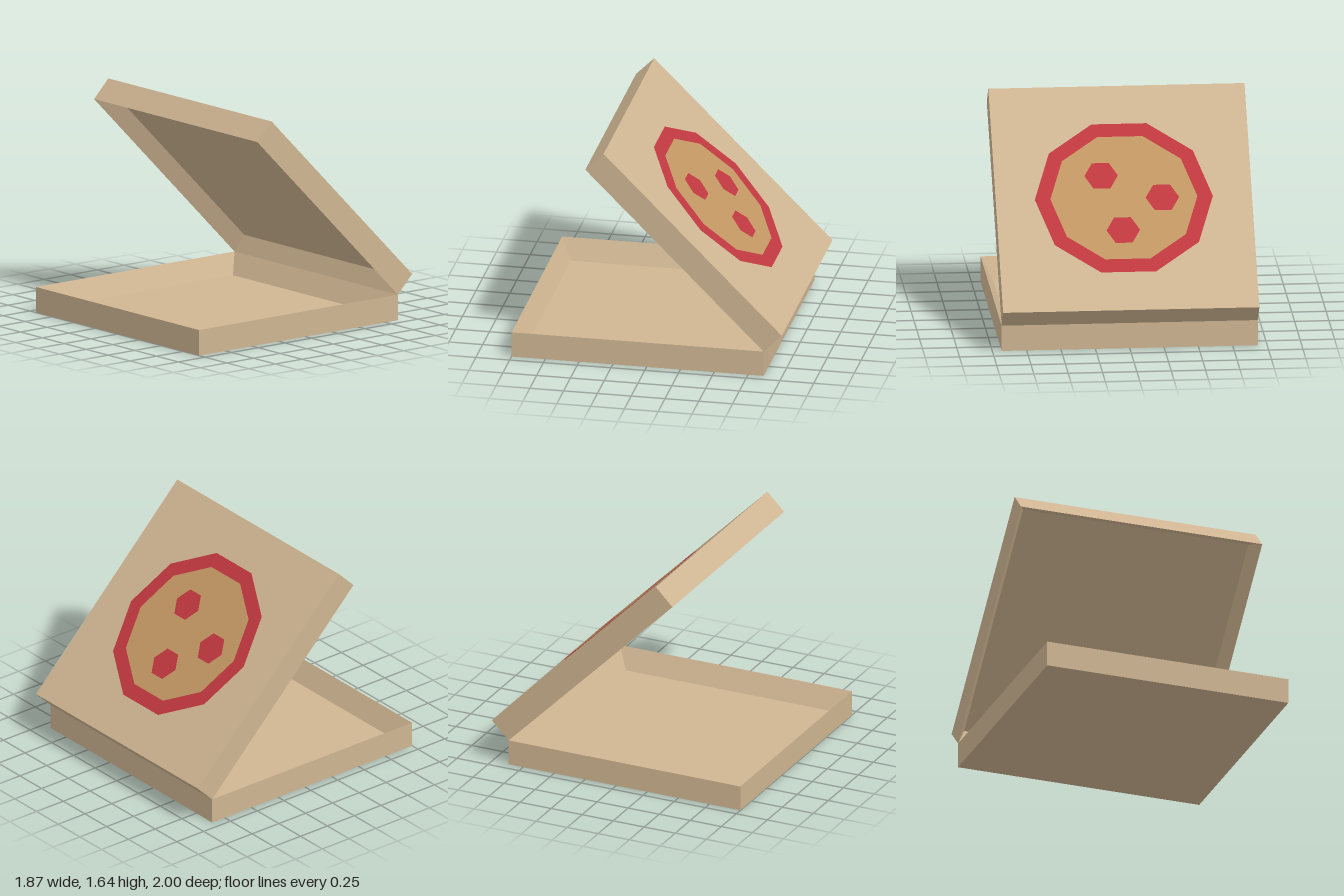
import * as THREE from 'three';

const WIDTH = 1.865, LENGTH = 1.866, HEIGHT = 0.19;
const paint = (color) => new THREE.MeshStandardMaterial({ color, flatShading: true });

// Open tray: outer walls rise to a sharp rim, inner walls slope down to the floor
function trayGeometry(inset, depth) {
  const ring = (i, y) => [[1, 1], [1, -1], [-1, -1], [-1, 1]].map(
    ([sx, sz]) => [sx * (WIDTH / 2 - i), y, sz * (LENGTH / 2 - i)]);
  const rings = [ring(0, 0), ring(0, HEIGHT), ring(inset, HEIGHT - depth)];
  const index = [];
  for (let r = 0; r < 2; r++) {
    for (let k = 0; k < 4; k++) {
      const a = r * 4 + k, b = r * 4 + (k + 1) % 4;
      index.push(a, b, b + 4, a, b + 4, a + 4);
    }
  }
  index.push(0, 2, 1, 0, 3, 2); // underside
  index.push(8, 9, 10, 8, 10, 11); // floor
  const indexed = new THREE.BufferGeometry();
  indexed.setAttribute('position', new THREE.Float32BufferAttribute(rings.flat(2), 3));
  indexed.setIndex(index);
  const geometry = indexed.toNonIndexed();
  geometry.computeVertexNormals();
  return geometry;
}

export function createModel() {
  const model = new THREE.Group();
  model.name = 'pizzaBox';
  const card = paint(0xcfb592), red = paint(0xc0383f), crust = paint(0xc39763);

  const add = (parent, name, geometry, material, x, y, z) => {
    const mesh = new THREE.Mesh(geometry, material);
    mesh.name = name;
    mesh.position.set(x, y, z);
    parent.add(mesh);
    return mesh;
  };

  // Base tray
  const hingeZ = 1 - LENGTH;
  add(model, 'base', trayGeometry(0.083, 0.15), card, 0, 0, 1 - LENGTH / 2);

  // Lid: a shallower tray turned over, swung open about the back rim
  const lid = new THREE.Group();
  lid.name = 'lid';
  lid.position.set(0, HEIGHT, hingeZ);
  lid.rotation.x = -Math.PI / 4;
  model.add(lid);
  add(lid, 'lidTray', trayGeometry(0.062, 0.12).rotateZ(Math.PI), card, 0, HEIGHT, LENGTH / 2);

  // Printed pizza: flat polygons layered just above the lid
  const disc = (name, radius, sides, material, x, z, layer) =>
    add(lid, name, new THREE.CircleGeometry(radius, sides).rotateX(-Math.PI / 2),
      material, x, HEIGHT + layer * 0.002, LENGTH / 2 + z);
  disc('pizzaRim', 0.648, 10, red, 0, 0, 1);
  disc('pizzaTop', 0.535, 10, crust, 0, 0, 2);
  [[0.02, -0.27], [-0.28, -0.005], [0.155, 0.185]].forEach(([x, z], i) =>
    disc(`topping${i + 1}`, 0.122, 6, red, x, z, 3));

  return model;
}
